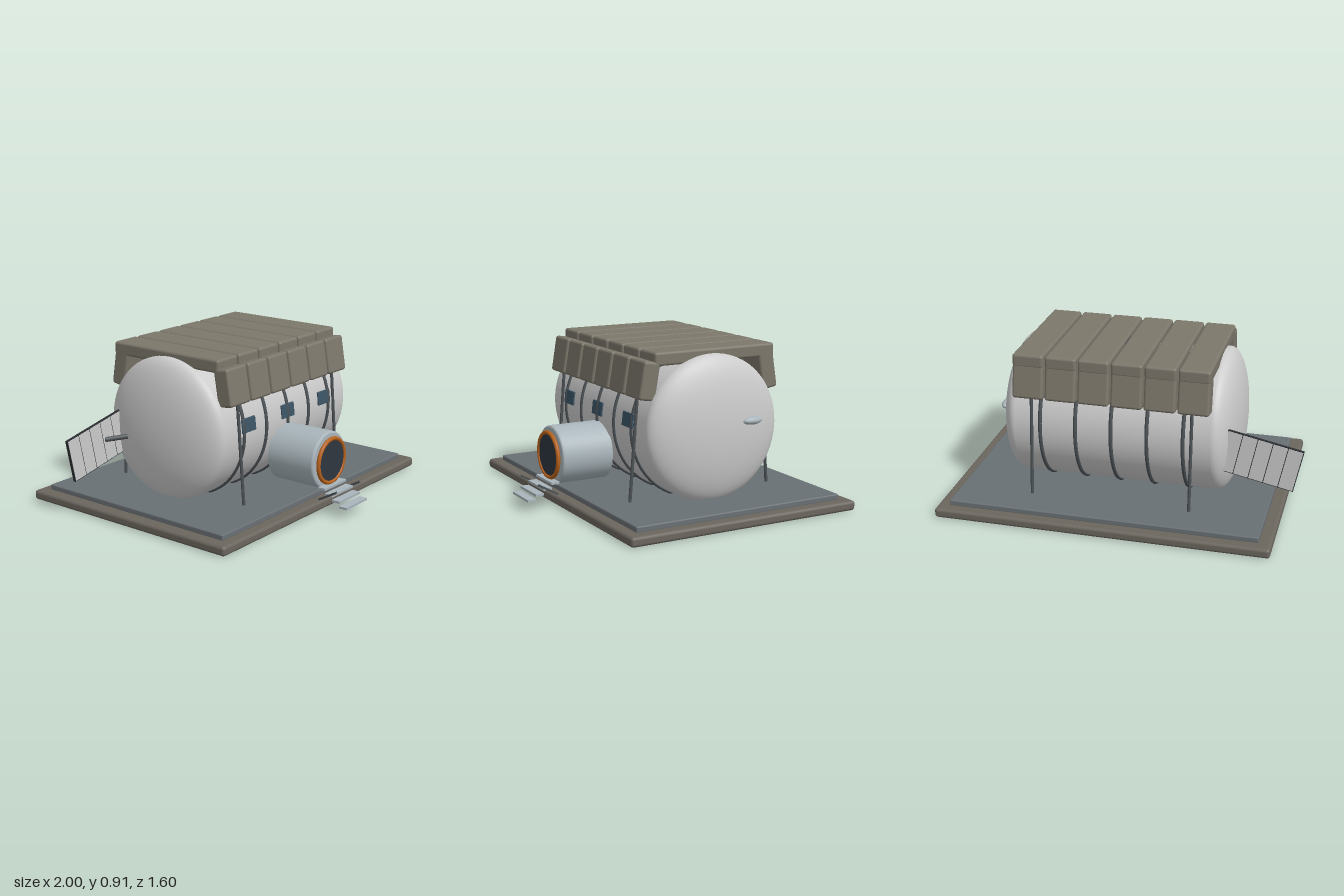
import * as THREE from 'three';
import { RoundedBoxGeometry } from 'three/addons/geometries/RoundedBoxGeometry.js';

const mat = (color, side = THREE.FrontSide) => new THREE.MeshStandardMaterial({ color, side });

export function createModel() {
  const root = new THREE.Group();
  const M = {
    hull: mat(0xcccccc), base: mat(0x6b665e), deck: mat(0x697074), block: mat(0x7c776b),
    metal: mat(0x4c5256), glass: mat(0x3c5566), lock: mat(0xa9b5bb), orange: mat(0xb8621b),
    hatch: mat(0x2e3640), dark: mat(0x2a2d31),
  };
  const CX = 0.055, CY = 0.47, CZ = -0.092, R = 0.41;

  const add = (name, geo, material, x = 0, y = 0, z = 0, parent = root) => {
    const m = new THREE.Mesh(geo, material);
    m.name = name;
    m.position.set(x, y, z);
    parent.add(m);
    return m;
  };
  const box = (w, h, d, r) => (r ? new RoundedBoxGeometry(w, h, d, 3, r) : new THREE.BoxGeometry(w, h, d));
  // Round bar between two points
  const bar = (name, a, b, r, material) => {
    const dir = new THREE.Vector3().subVectors(b, a);
    const m = add(name, new THREE.CylinderGeometry(r, r, dir.length(), 10), material);
    m.position.addVectors(a, b).multiplyScalar(0.5);
    m.quaternion.setFromUnitVectors(new THREE.Vector3(0, 1, 0), dir.normalize());
    return m;
  };

  // Ground slab and raised deck
  add('groundSlab', box(1.89, 0.055, 1.41, 0.018), M.base, CX, 0.0275, -0.095);
  add('deckPlate', box(1.75, 0.035, 1.28, 0.008), M.deck, CX, 0.068, -0.095);

  // Pressure hull: cylinder with a flattened dome at each end
  const half = 0.56;
  const hull = add('hullCylinder', new THREE.CylinderGeometry(R, R, 2 * half, 72, 1, true), M.hull, CX, CY, CZ);
  hull.rotation.z = Math.PI / 2;
  const profile = [];
  for (let i = 0; i <= 20; i++) {
    const a = (i / 20) * Math.PI / 2;
    profile.push(new THREE.Vector2(R * Math.cos(a), 0.125 * Math.sin(a)));
  }
  const domeGeo = new THREE.LatheGeometry(profile, 72);
  for (const s of [-1, 1]) {
    const dome = add(s < 0 ? 'rightDome' : 'leftDome', domeGeo, M.hull, CX + s * half, CY, CZ);
    dome.rotation.z = -s * Math.PI / 2;
  }

  // Hoops around the hull
  const hoop = new THREE.TorusGeometry(R + 0.001, 0.011, 8, 72);
  for (let i = -2; i <= 2; i++) {
    add('hoop', hoop, M.metal, CX + i * 0.203, CY, CZ).rotation.y = Math.PI / 2;
  }

  // Shielding: six roof slabs with a tilted block hanging on each side
  for (let i = 0; i < 6; i++) {
    const x = CX + (i - 2.5) * 0.186;
    add('roofBlock', box(0.175, 0.075, 0.76, 0.015), M.block, x, 0.871, -0.125);
    for (const s of [-1, 1]) {
      const b = add('sideBlock', box(0.175, 0.21, 0.098, 0.015), M.block, x, 0.757, CZ + s * 0.376);
      b.rotation.x = -s * 0.165;
    }
  }

  // Support poles
  for (const sx of [-1, 1]) for (const s of [-1, 1]) {
    const x = CX + sx * 0.453;
    bar('supportPole', new THREE.Vector3(x, 0.08, CZ + s * 0.447), new THREE.Vector3(x, 0.7, CZ + s * 0.398), 0.009, M.metal);
  }

  // Front windows
  for (const i of [-1, 0, 1]) {
    const w = add('window', box(0.12, 0.08, 0.02, 0.004), M.glass, CX + i * 0.363, 0.52, CZ + 0.404);
    w.rotation.x = -0.12;
  }

  // Airlock tunnel, sealing ring and hatch
  const airlock = new THREE.Group();
  airlock.name = 'airlock';
  airlock.position.set(0.053, 0.283, 0);
  root.add(airlock);
  const lockProfile = [[0, 0.305], [0.165, 0.305], [0.165, 0.6], [0.162, 0.608], [0.155, 0.612], [0, 0.612]]
    .map(([r, z]) => new THREE.Vector2(r, z));
  // Separate lathes keep the rims crisp
  for (let i = 0; i < lockProfile.length - 1; i++) {
    add('tunnel', new THREE.LatheGeometry([lockProfile[i], lockProfile[i + 1]], 48), M.lock, 0, 0, 0, airlock).rotation.x = Math.PI / 2;
  }
  add('sealRing', new THREE.TorusGeometry(0.127, 0.012, 12, 48), M.orange, 0, 0, 0.626, airlock);
  add('hatch', new THREE.CylinderGeometry(0.124, 0.124, 0.025, 48), M.hatch, 0, 0, 0.618, airlock).rotation.x = Math.PI / 2;

  // Steps and side rails below the hatch
  for (let i = 0; i < 4; i++) {
    add('step', box(0.21, 0.013, 0.05), M.lock, 0.053, 0.143 - i * 0.027, 0.634 + i * 0.048);
  }
  for (const s of [-1, 1]) {
    add('stepRail', box(0.012, 0.012, 0.132), M.metal, 0.053 + s * 0.118, 0.117, 0.686).rotation.x = -0.51;
  }

  // Tilted side panel: dark frame with light strips on both faces
  const panel = new THREE.Group();
  panel.name = 'sidePanel';
  panel.position.set(-0.765, 0.376, -0.4);
  panel.rotation.z = 0.205;
  root.add(panel);
  add('panelFrame', box(0.43, 0.25, 0.016), M.dark, 0, 0, 0, panel);
  for (let i = 0; i < 5; i++) {
    add('panelStrip', box(0.081, 0.242, 0.019), M.hull, (i - 2) * 0.085, 0, 0, panel);
  }
  bar('panelArm', new THREE.Vector3(-0.71, 0.395, -0.393), new THREE.Vector3(-0.57, 0.405, -0.3), 0.014, M.metal);

  // Small blister on the left dome
  add('domeBlister', new THREE.SphereGeometry(1, 24, 16), M.lock, 0.725, 0.512, -0.285).scale.set(0.03, 0.023, 0.063);

  return root;
}
